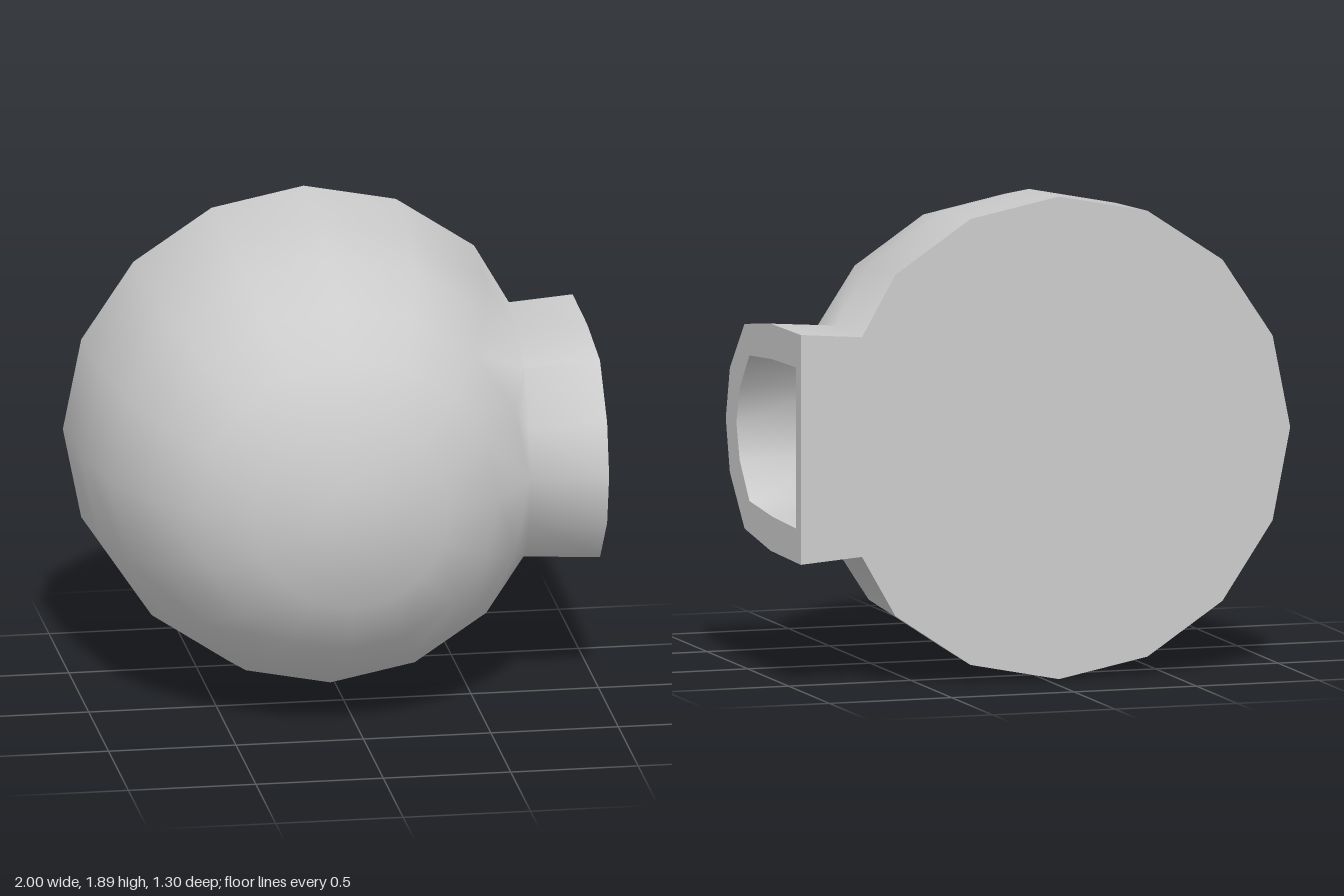
import * as THREE from 'three';
import { toCreasedNormals } from 'three/addons/utils/BufferGeometryUtils.js';

const CX = -0.055, CY = 0.95, SIDES = 16;
const v = (x, y, z) => new THREE.Vector3(x, y, z);

// Collects triangles and quads, optionally turned inside out
function collector() {
  const data = [];
  const tri = (a, b, c, flip) => {
    for (const p of flip ? [a, c, b] : [a, b, c]) data.push(p.x, p.y, p.z);
  };
  const quad = (a, b, c, d, flip) => { tri(a, b, c, flip); tri(a, c, d, flip); };
  const mesh = (name) => {
    const g = new THREE.BufferGeometry();
    g.setAttribute('position', new THREE.Float32BufferAttribute(data, 3));
    const m = new THREE.Mesh(toCreasedNormals(g, 1.2),
      new THREE.MeshStandardMaterial({ color: 0xcccccc, side: THREE.DoubleSide }));
    m.name = name;
    return m;
  };
  return { tri, quad, mesh };
}

// Full D-shaped path, back top -> front middle -> back bottom,
// from half a path given as [x, half height, z]
function dPath(half) {
  const top = half.map(([x, h, z]) => v(x, CY + h, z));
  const bottom = half.slice(0, -1).reverse().map(([x, h, z]) => v(x, CY - h, z));
  return [...top, ...bottom];
}

// Dome of rings [radius, z] whose +x side opens into a D-shaped tunnel
function domeWithTunnel(out, rings, root, flip) {
  const rim = dPath(root);
  const end = rim.map((p, i) => {
    const grow = flip ? 1 : 1 + 0.02 / 0.43;
    return v(1, CY + (p.y - CY) * grow, p.z);
  });
  const grid = rings.map(([r, z]) => Array.from({ length: SIDES }, (_, k) => {
    const a = k * 2 * Math.PI / SIDES;
    return v(CX + r * Math.cos(a), CY + r * Math.sin(a), z);
  }));
  // pull the dome points around the opening onto its rim
  for (let i = 0; i < 3; i++) {
    grid[i][1] = rim[i];
    grid[i][SIDES - 1] = rim[8 - i];
  }
  grid[3][0] = rim[4];

  for (let i = 0; i < rings.length - 1; i++) {
    for (let k = 0; k < SIDES; k++) {
      const n = (k + 1) % SIDES;
      const a = grid[i][k], b = grid[i][n], c = grid[i + 1][n], d = grid[i + 1][k];
      const first = k === 0, last = k === SIDES - 1;
      if (i < 2 && (first || last)) continue;
      if (i === 2 && first) {
        out.tri(b, c, rim[3], flip);
        out.tri(rim[3], c, d, flip);
      } else if (i === 2 && last) {
        out.tri(a, rim[5], d, flip);
        out.tri(rim[5], c, d, flip);
      } else out.quad(a, b, c, d, flip);
    }
  }
  // cap at the front pole
  const top = grid[grid.length - 1], pole = v(CX, CY, top[0].z);
  top.forEach((p, k) => out.tri(p, top[(k + 1) % SIDES], pole, flip));

  // tunnel wall
  for (let j = 0; j < rim.length - 1; j++) out.quad(rim[j], rim[j + 1], end[j + 1], end[j], flip);

  return { end, outline: [end[8], end[0], ...grid[0].slice(1)] };
}

// Flat fan closing an outline at the back
function backFace(out, outline, flip) {
  const centre = v(CX, CY, outline[0].z);
  outline.forEach((p, i) => out.tri(centre, p, outline[(i + 1) % outline.length], flip));
}

export function createModel() {
  const group = new THREE.Group();
  group.name = 'domeWithSidePort';

  // Outer dome and the outside of the port
  const outer = collector();
  const o = domeWithTunnel(outer,
    [[0.945, -0.65], [0.925, -0.28], [0.865, 0.02], [0.745, 0.27], [0.593, 0.465], [0.385, 0.59], [0.132, 0.655]],
    [[0.75, 0.43, -0.65], [0.73, 0.425, -0.28], [0.7, 0.383, 0.04], [0.695, 0.195, 0.22], [0.69, 0, 0.27]], false);
  group.add(outer.mesh('outerShell'));

  // Hollow inside, seen through the port
  const inner = collector();
  const n = domeWithTunnel(inner,
    [[0.815, -0.59], [0.795, -0.3], [0.735, -0.02], [0.63, 0.17], [0.48, 0.36], [0.29, 0.47], [0.1, 0.52]],
    [[0.63, 0.315, -0.59], [0.61, 0.308, -0.3], [0.59, 0.285, -0.02], [0.58, 0.14, 0.1], [0.57, 0, 0.14]], true);
  group.add(inner.mesh('innerShell'));

  // Back plate, outside and inside faces
  const plate = collector();
  backFace(plate, o.outline, true);
  backFace(plate, n.outline, false);
  group.add(plate.mesh('backPlate'));

  // Flat lip around the port mouth
  const lip = collector();
  for (let j = 0; j < 8; j++) lip.quad(o.end[j], o.end[j + 1], n.end[j + 1], n.end[j]);
  lip.quad(o.end[0], n.end[0], n.end[8], o.end[8]);
  group.add(lip.mesh('portLip'));

  return group;
}
